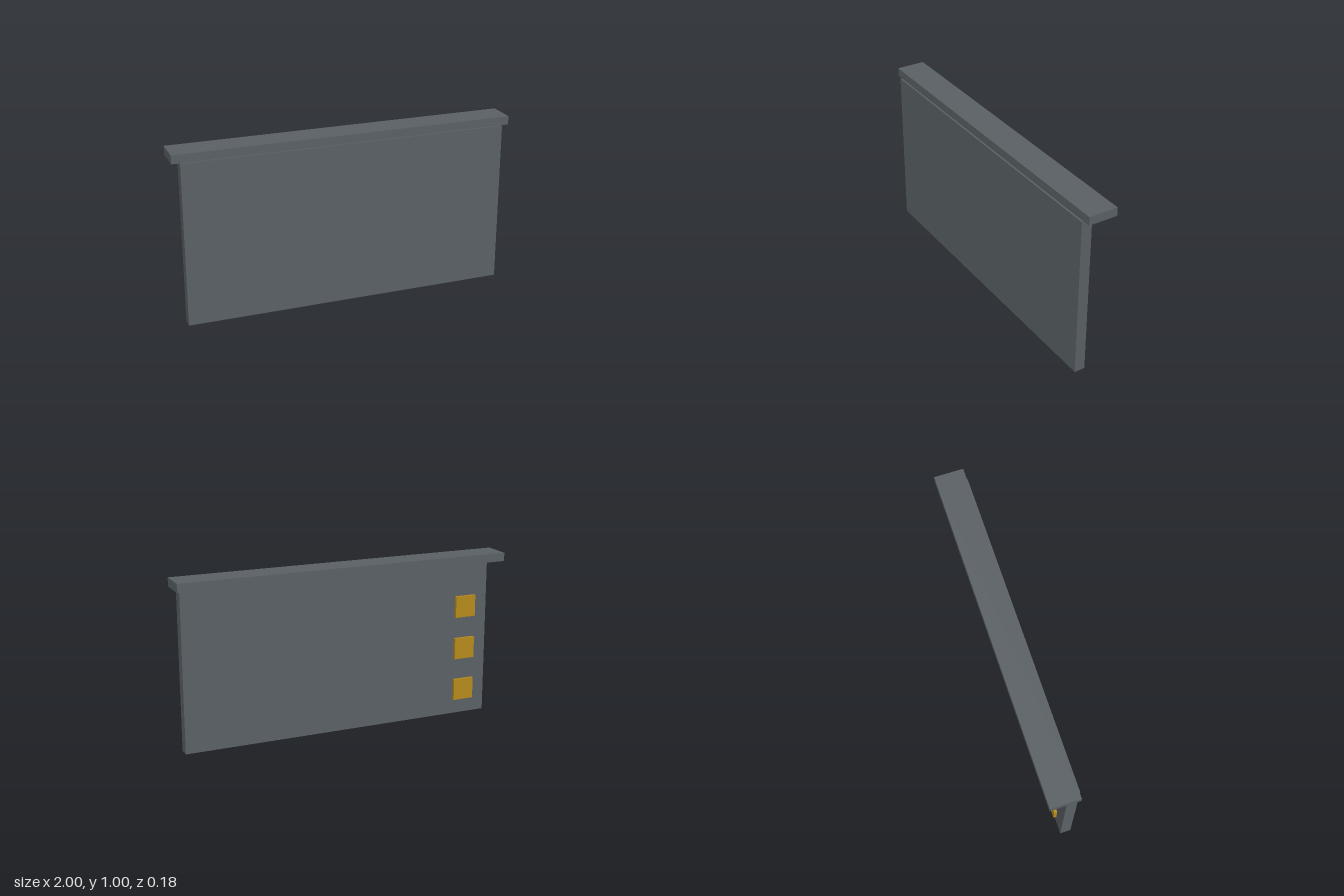
import * as THREE from 'three';

export function createModel() {
  const model = new THREE.Group();
  const slate = new THREE.MeshStandardMaterial({ color: 0x5a6165 });
  slate.name = 'slateGrey';
  const gold = new THREE.MeshStandardMaterial({ color: 0xb88c1c });
  gold.name = 'gold';

  const addBox = (name, material, size, position) => {
    const mesh = new THREE.Mesh(new THREE.BoxGeometry(...size), material);
    mesh.name = name;
    mesh.position.set(...position);
    model.add(mesh);
  };

  // Upright panel and the ledge resting on its top edge
  addBox('panel', slate, [1.91, 0.955, 0.063], [0, 0.4775, 0.06]);
  addBox('topLedge', slate, [2, 0.05, 0.172], [0, 0.98, -0.005]);

  // Column of square pads on the back, near the right edge
  for (let i = 0; i < 3; i++) {
    addBox(`backPad${i + 1}`, gold, [0.13, 0.13, 0.018], [-0.807, 0.154 + i * 0.26, 0.0195]);
  }
  return model;
}
